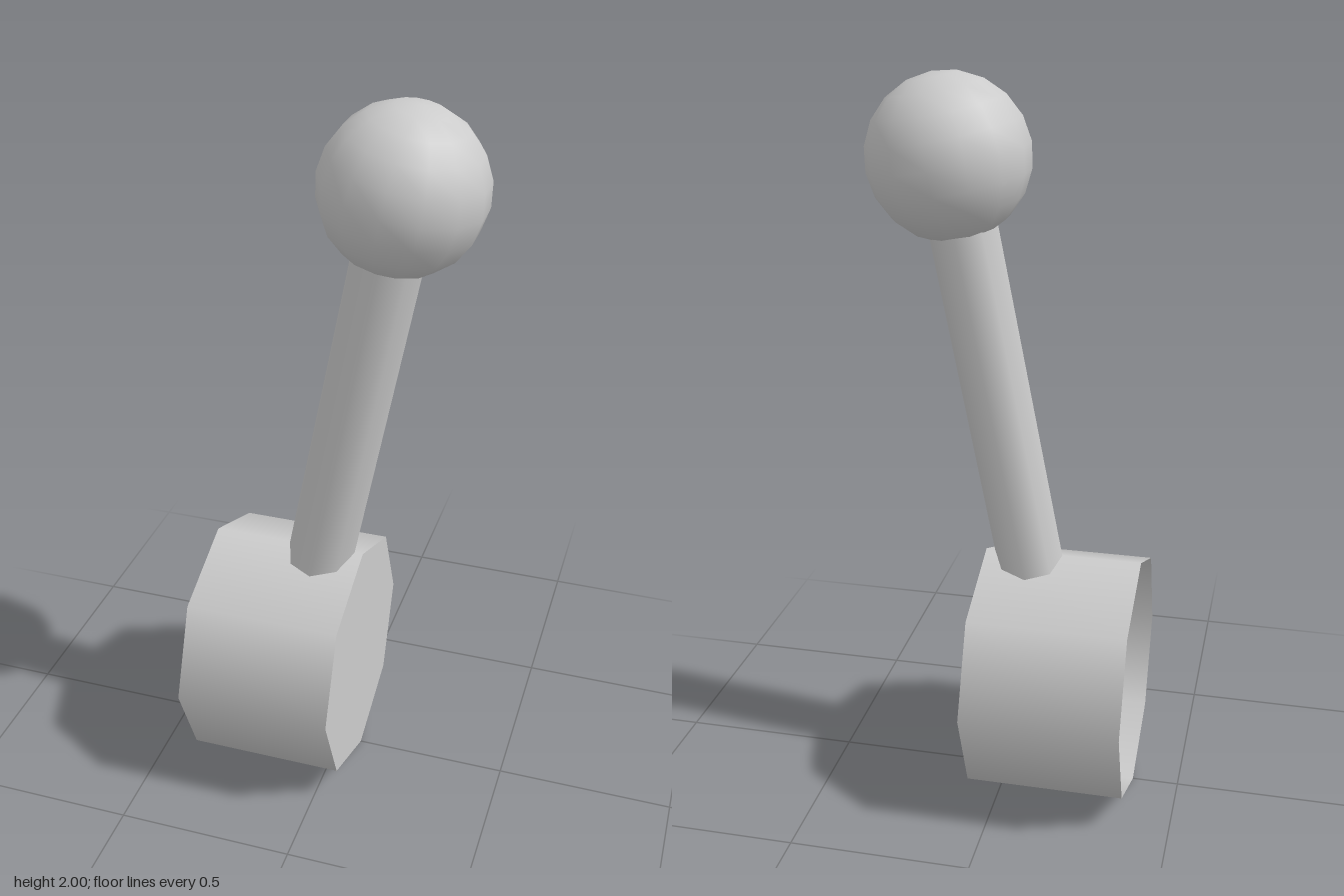
import * as THREE from 'three';

export function createModel() {
  const model = new THREE.Group();
  model.name = 'leverSwitch';
  const grey = new THREE.MeshStandardMaterial({ color: 0xcccccc, side: THREE.DoubleSide });

  const addPart = (parent, name, geometry) => {
    const mesh = new THREE.Mesh(geometry, grey);
    mesh.name = name;
    parent.add(mesh);
    return mesh;
  };

  // Eight-sided drum lying along x, open at the -x end
  const radius = 0.35, left = 0.065, right = -0.37;
  const shell = new THREE.CylinderGeometry(radius, radius, left - right, 8, 1, true);
  shell.rotateZ(-Math.PI / 2);
  addPart(model, 'drumShell', shell).position.set((left + right) / 2, radius, 0);

  // Flat disc closing the +x end
  const cap = new THREE.CircleGeometry(radius, 8);
  cap.rotateY(Math.PI / 2);
  addPart(model, 'drumCap', cap).position.set(left, radius, 0);

  // Leaning lever: the rod starts inside the drum and ends in the knob
  const length = 1.505;
  const lever = new THREE.Group();
  lever.name = 'lever';
  lever.position.set(-0.131, 0.31, 0);
  lever.rotation.z = -0.193;
  model.add(lever);

  addPart(lever, 'leverRod', new THREE.CylinderGeometry(0.094, 0.094, length, 8)).position.y = length / 2;

  const knob = new THREE.SphereGeometry(0.215, 14, 10, Math.PI / 2);
  addPart(lever, 'leverKnob', knob).position.y = length;

  return model;
}
